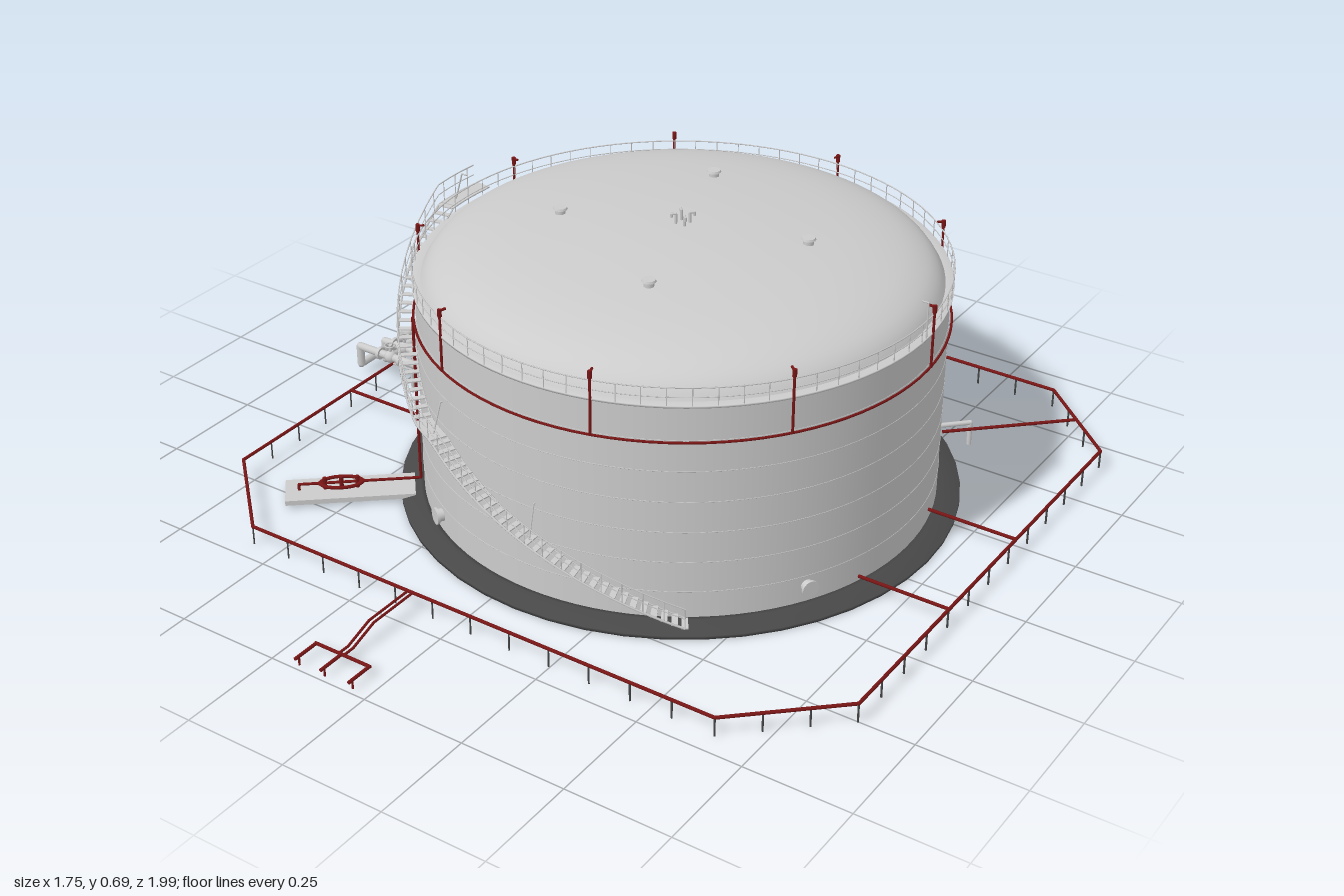
import * as THREE from 'three';
import { mergeGeometries } from 'three/addons/utils/BufferGeometryUtils.js';

const grey = new THREE.MeshStandardMaterial({ color: 0xcccccc, side: THREE.DoubleSide });
const dark = new THREE.MeshStandardMaterial({ color: 0x484848, side: THREE.DoubleSide });
const red = new THREE.MeshStandardMaterial({ color: 0x7a1515 });
const V = (x, y, z) => new THREE.Vector3(x, y, z);

// Point around the tank axis; angle in degrees from +x towards +z
const polar = (r, deg, y) => {
  const a = THREE.MathUtils.degToRad(deg);
  return V(r * Math.cos(a), y, r * Math.sin(a));
};

// Geometry of a straight bar between two points
function bar(a, b, r, sides = 6) {
  const d = b.clone().sub(a);
  const g = new THREE.CylinderGeometry(r, r, d.length(), sides);
  g.applyQuaternion(new THREE.Quaternion().setFromUnitVectors(V(0, 1, 0), d.normalize()));
  return g.translate((a.x + b.x) / 2, (a.y + b.y) / 2, (a.z + b.z) / 2);
}

// Bars along a path, with round joints at the bends
function run(pts, r, sides = 6) {
  const out = [];
  for (let i = 0; i < pts.length - 1; i++) {
    out.push(bar(pts[i], pts[i + 1], r, sides));
    if (i) out.push(new THREE.SphereGeometry(r, sides, 4).translate(pts[i].x, pts[i].y, pts[i].z));
  }
  return out;
}

const hoop = (R, y, r) => new THREE.TorusGeometry(R, r, 5, 96).rotateX(Math.PI / 2).translate(0, y, 0);

function add(parent, name, geos, mat = grey) {
  const m = new THREE.Mesh(Array.isArray(geos) ? mergeGeometries(geos) : geos, mat);
  m.name = name;
  parent.add(m);
  return m;
}
const lathe = (pts) => new THREE.LatheGeometry(pts.map(([x, y]) => new THREE.Vector2(x, y)), 96);

function buildShell(tank) {
  add(tank, 'wall', new THREE.CylinderGeometry(0.6, 0.6, 0.535, 96, 1, true).translate(0, 0.2775, 0));
  const seams = [];
  for (let i = 1; i <= 6; i++) seams.push(hoop(0.6, 0.01 + i * 0.075, 0.001));
  add(tank, 'weldSeams', seams);
  const dome = new THREE.SplineCurve([[0.587, 0.545], [0.57, 0.57], [0.54, 0.593], [0.485, 0.615],
    [0.39, 0.635], [0.25, 0.65], [0.12, 0.658], [0, 0.66]].map(([x, y]) => new THREE.Vector2(x, y)));
  const pts = dome.getPoints(24);
  pts[24].x = 0;
  add(tank, 'domeRoof', new THREE.LatheGeometry(pts, 96));
  add(tank, 'rimWalkway', lathe([[0.585, 0.545], [0.585, 0.54], [0.607, 0.54], [0.607, 0.545], [0.585, 0.545]]));
  add(tank, 'foundationRing', new THREE.LatheGeometry([[0.595, 0], [0.655, 0], [0.655, 0.008],
    [0.61, 0.02], [0.595, 0.02], [0.595, 0]].map(([x, y]) => new THREE.Vector2(x, y)), 48), dark);

  // Guard rail round the rim
  const rail = [hoop(0.605, 0.587, 0.0016), hoop(0.605, 0.565, 0.0012)];
  for (let a = 0; a < 360; a += 5) rail.push(bar(polar(0.605, a, 0.545), polar(0.605, a, 0.587), 0.0013, 4));
  add(tank, 'rimRailing', rail);
}

function buildRoofFittings(tank) {
  // Four vents and a central cluster of bent breathers
  for (let k = 0; k < 4; k++) {
    const p = polar(0.285, 71.6 + 90 * k, 0);
    add(tank, 'roofVent', [
      new THREE.CylinderGeometry(0.012, 0.012, 0.014, 12).translate(p.x, 0.652, p.z),
      new THREE.CylinderGeometry(0.015, 0.017, 0.005, 12).translate(p.x, 0.66, p.z)]);
    const a = 45 + 90 * k;
    add(tank, 'breather', run([polar(0.016, a, 0.655), polar(0.016, a, 0.684), polar(0.026, a, 0.684),
      polar(0.026, a, 0.676)], 0.003));
  }
}

function buildManholes(tank) {
  for (let a = 30; a < 360; a += 90) {
    add(tank, 'manhole', [bar(polar(0.595, a, 0.06), polar(0.615, a, 0.06), 0.015, 16),
      bar(polar(0.612, a, 0.06), polar(0.618, a, 0.06), 0.02, 16)]);
  }
}

function buildSprinklers(tank) {
  // Cooling ring with nine hooked uprights
  add(tank, 'coolingRing', hoop(0.606, 0.458, 0.003), red);
  for (let k = 0; k < 9; k++) {
    const a = -5 + 40 * k;
    add(tank, 'coolingUpright', [...run([polar(0.607, a, 0.458), polar(0.607, a, 0.606), polar(0.592, a, 0.608)], 0.003),
      bar(polar(0.607, a, 0.592), polar(0.607, a, 0.61), 0.005)], red);
  }
  // Radial slabs carrying a riser with a valve bypass loop
  for (const a of [139.6, 259.4]) {
    const slab = add(tank, 'valveSlab', new THREE.BoxGeometry(0.3, 0.012, 0.092));
    slab.position.copy(polar(0.772, a, 0.014));
    slab.rotation.y = -THREE.MathUtils.degToRad(a);
    const loop = new THREE.TorusGeometry(0.025, 0.004, 6, 24).rotateX(Math.PI / 2).scale(1.9, 1, 1)
      .rotateY(-THREE.MathUtils.degToRad(a));
    const c = polar(0.792, a, 0.035);
    add(tank, 'riserPipe', [loop.translate(c.x, c.y, c.z),
      ...run([polar(0.608, a, 0.458), polar(0.608, a, 0.035), polar(0.89, a, 0.035), polar(0.89, a, 0.015)], 0.0035),
      ...[0.755, 0.792, 0.83].map((r) => bar(polar(r, a, 0.018), polar(r, a, 0.05), 0.005))], red);
  }
}

function buildStairs(tank) {
  const inner = 0.603, outer = 0.643;
  const height = (a) => (a < 115 ? 0.02 + (a - 56) * 0.275 / 59
    : a < 123 ? 0.295 : Math.min(0.56, 0.295 + (a - 123) * 0.265 / 51));
  const treads = [], rails = [], posts = [];
  let prev = null;
  for (let a = 56; a <= 186; a += 2) {
    const y = height(a), p = polar((inner + outer) / 2, a, y);
    const flat = (a >= 115 && a < 124) || a > 174;
    treads.push(new THREE.BoxGeometry(outer - inner, 0.003, flat ? 0.023 : 0.014)
      .rotateY(-THREE.MathUtils.degToRad(a)).translate(p.x, p.y, p.z));
    if (prev !== null) {
      const y0 = height(prev);
      for (const [r, h, t] of [[outer, 0, 0.0028], [inner, 0, 0.002], [outer, 0.025, 0.0012], [outer, 0.05, 0.0016]]) {
        rails.push(bar(polar(r, prev, y0 + h), polar(r, a, y + h), t, 5));
      }
    }
    if (a % 4 === 0) posts.push(bar(polar(outer, a, y), polar(outer, a, y + 0.05), 0.0014, 4));
    prev = a;
  }
  add(tank, 'stairTreads', treads);
  add(tank, 'stairRails', rails);
  add(tank, 'stairPosts', posts);
  // Lamp poles
  for (const [a, y, h] of [[117, 0.295, 0.075], [178, 0.56, 0.07], [358, 0.545, 0.085], [88, 0.17, 0.08]]) {
    add(tank, 'lampPole', run([polar(0.625 - (y === 0.545 ? 0.02 : 0), a, y), polar(0.605, a, y + h),
      polar(0.59, a, y + h)], 0.0018));
  }
}

function buildFireMain(model) {
  // Chamfered ring main on short legs
  const ring = [[-0.57, -0.86], [0.655, -0.86], [0.87, -0.66], [0.87, 0.5], [0.655, 0.7],
    [-0.57, 0.7], [-0.78, 0.5], [-0.78, -0.66]].map(([x, z]) => V(x, 0.046, z));
  add(model, 'ringMain', run([...ring, ring[0]], 0.004), red);
  const legs = [];
  ring.forEach((p, i) => {
    const q = ring[(i + 1) % ring.length], n = Math.round(p.distanceTo(q) / 0.1);
    for (let k = 0; k < n; k++) {
      const s = p.clone().lerp(q, k / n);
      legs.push(bar(V(s.x, 0, s.z), s, 0.0025, 4));
    }
  });
  add(model, 'ringLegs', legs, dark);
  // Branches in to the tank
  const branches = [];
  for (const z of [-0.21, 0.11]) {
    branches.push(...run([V(0.87, 0.046, z), V(0.65, 0.046, z)], 0.004));
    branches.push(...run([V(-0.78, 0.046, z), V(-0.52, 0.046, z)], 0.004));
  }
  branches.push(bar(V(0.76, 0.046, -0.76), V(0.52, 0.046, -0.53), 0.004));
  branches.push(bar(V(-0.67, 0.046, -0.76), V(-0.4, 0.046, -0.46), 0.004));
  add(model, 'branchPipes', branches, red);
  for (const s of [-1, 1]) {
    add(model, 'drainPipe', run([V(0.065 + s * 0.415, 0.06, -0.5), V(0.065 + s * 0.5, 0.06, -0.585),
      V(0.065 + s * 0.5, 0, -0.585)], 0.006, 8));
  }
  // Front supply line ending in a three-way manifold
  const feed = [];
  for (const x of [-0.125, -0.112]) {
    feed.push(...run([V(x, 0.046, 0.7), V(x, 0.046, 0.83), V(x, 0.022, 0.9), V(x, 0.022, 0.93)], 0.003));
  }
  feed.push(bar(V(-0.19, 0.022, 0.93), V(-0.04, 0.022, 0.93), 0.004));
  for (const x of [-0.187, -0.118, -0.043]) {
    feed.push(bar(V(x, 0.022, 0.93), V(x, 0.022, 0.997), 0.004), bar(V(x, 0, 0.985), V(x, 0.022, 0.985), 0.0025));
  }
  add(model, 'supplyManifold', feed, red);
}

function buildInletPipes(model) {
  const lines = [[-0.085, -0.83, 0.08], [-0.03, -0.865, 0.08]];
  for (const [z, x, y] of lines) {
    add(model, 'inletPipe', run([V(-0.53, y, z), V(x, y, z), V(x, 0.03, z), V(x, 0.03, -0.37)], 0.01, 12));
    // Flanges, valve body and handwheel
    const fit = [-0.575, -0.735, -0.8].map((fx) => bar(V(fx - 0.004, y, z), V(fx + 0.004, y, z), 0.016, 14));
    fit.push(bar(V(-0.767, y, z), V(-0.767, 0.112, z), 0.004),
      new THREE.TorusGeometry(0.013, 0.002, 5, 14).rotateX(Math.PI / 2).translate(-0.767, 0.112, z),
      new THREE.SphereGeometry(0.016, 12, 8).translate(-0.767, y, z));
    for (const zz of [-0.2, -0.36]) fit.push(bar(V(x, 0.03, zz - 0.004), V(x, 0.03, zz + 0.004), 0.016, 14));
    add(model, 'pipeFittings', fit);
    const stands = [-0.62, -0.7].map((sx) => bar(V(sx, 0, z), V(sx, y, z), 0.004));
    stands.push(bar(V(x, 0, -0.15), V(x, 0.03, -0.15), 0.004), bar(V(x, 0, -0.3), V(x, 0.03, -0.3), 0.004));
    add(model, 'pipeStands', stands);
  }
  // Open rung deck between the two pipes
  const rungs = [];
  for (let x = -0.75; x < -0.58; x += 0.02) rungs.push(bar(V(x, 0.07, -0.095), V(x, 0.07, -0.02), 0.002, 4));
  for (const z of [-0.095, -0.0575, -0.02]) rungs.push(bar(V(-0.75, 0.07, z), V(-0.58, 0.07, z), 0.003, 4));
  add(model, 'pipeDeck', rungs);
}

export function createModel() {
  const model = new THREE.Group();
  model.name = 'storageTank';
  const tank = new THREE.Group();
  tank.name = 'tank';
  tank.position.set(0.065, 0, -0.08);
  model.add(tank);
  for (const build of [buildShell, buildRoofFittings, buildManholes, buildSprinklers, buildStairs]) build(tank);
  buildFireMain(model);
  buildInletPipes(model);
  return model;
}
